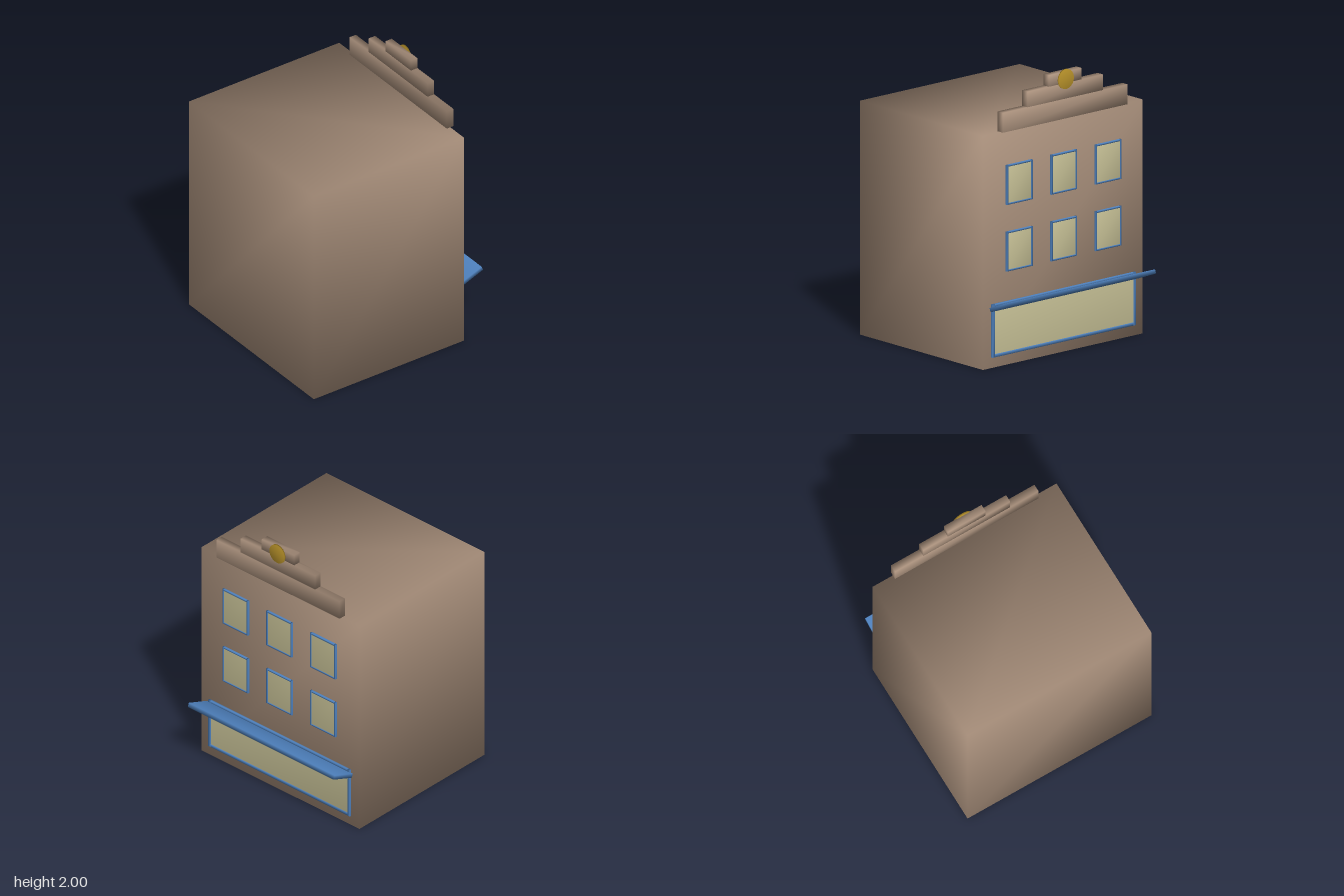
import * as THREE from 'three';
import { mergeVertices } from 'three/addons/utils/BufferGeometryUtils.js';

const paint = (color) => new THREE.MeshStandardMaterial({ color });
const brick = paint(0xa88f7b);
const blue = paint(0x4f82bf);
const glass = paint(0xc4be94);
const gold = paint(0xb8922a);

// Weld shared corners so the shading runs smoothly across the edges
function soften(geometry) {
  geometry.deleteAttribute('normal');
  geometry.deleteAttribute('uv');
  const welded = mergeVertices(geometry);
  welded.computeVertexNormals();
  return welded;
}

// Box given by its size and centre
function block(name, material, [w, h, d], [x, y, z]) {
  const mesh = new THREE.Mesh(soften(new THREE.BoxGeometry(w, h, d)), material);
  mesh.name = name;
  mesh.position.set(x, y, z);
  return mesh;
}

const WALL = -0.53; // street facade, facing -z

// Framed pane set on the facade: four frame bars around a glass panel
function framedWindow(name, w, h, bar, x, y) {
  const group = new THREE.Group();
  group.name = name;
  group.position.set(x, y, WALL);
  const depth = 0.03;
  for (const s of [-1, 1]) {
    group.add(
      block('frameSide', blue, [bar, h, depth], [s * (w - bar) / 2, 0, 0]),
      block('frameRail', blue, [w - 2 * bar, bar, depth], [0, s * (h - bar) / 2, 0])
    );
  }
  group.add(block('pane', glass, [w - 2 * bar, h - 2 * bar, 0.024], [0, 0, 0]));
  return group;
}

export function createModel() {
  const model = new THREE.Group();
  model.name = 'shopBuilding';

  // Main block
  model.add(block('building', brick, [1.46, 1.65, 1.26], [0, 0.825, 0.1]));

  // Stepped parapet above the facade: half width, bottom, top
  const tiers = [[0.57, 1.65, 1.79], [0.345, 1.79, 1.9], [0.15, 1.9, 1.98]];
  for (const [half, bottom, top] of tiers) {
    model.add(block('parapetTier', brick, [half * 2, top - bottom, 0.055], [0, (bottom + top) / 2, -0.528]));
  }

  // Round gold medallion on the parapet
  const medallion = new THREE.Mesh(soften(new THREE.CylinderGeometry(0.07, 0.07, 0.012, 32)), gold);
  medallion.name = 'medallion';
  medallion.rotation.x = Math.PI / 2;
  medallion.position.set(0, 1.93, -0.559);
  model.add(medallion);

  // Two rows of three upper windows
  for (const y of [0.8, 1.27]) {
    for (const x of [-0.405, 0, 0.405]) {
      model.add(framedWindow('upperWindow', 0.235, 0.28, 0.012, x, y));
    }
  }

  // Wide shop window
  model.add(framedWindow('shopWindow', 1.31, 0.375, 0.022, 0, 0.2625));

  // Awning rising away from the wall
  const awning = block('awning', blue, [1.35, 0.03, 0.196], [0, 0.45, -0.632]);
  awning.rotation.x = 0.37;
  model.add(awning);

  return model;
}
